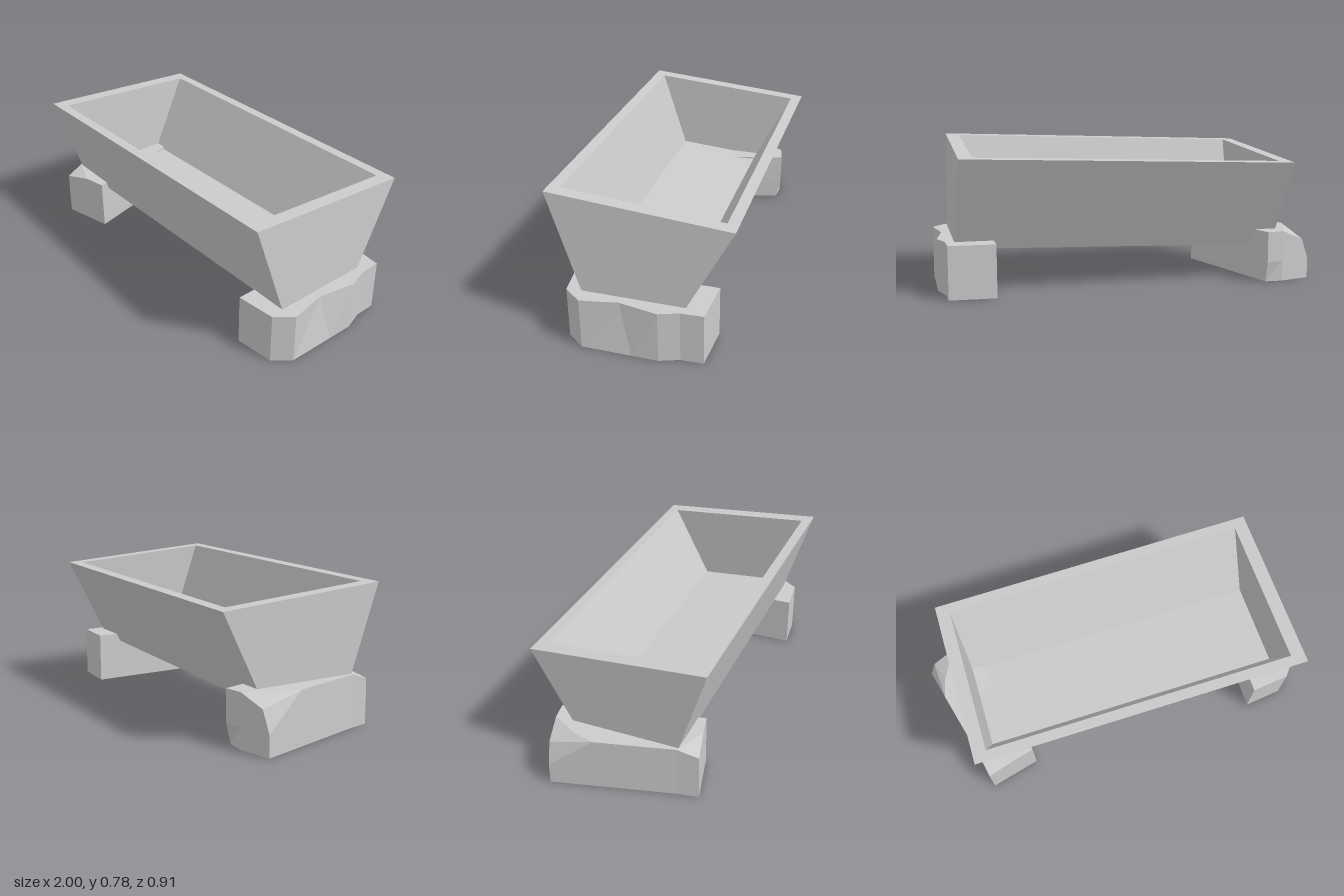
import * as THREE from 'three';

const material = new THREE.MeshStandardMaterial({ color: 0xcccccc, flatShading: true });

// Skins a stack of rings ([x, y, z] corners, counter-clockwise from above) and caps both ends.
function loft(name, rings) {
  const pos = [];
  const tri = (a, b, c) => pos.push(...a, ...b, ...c);
  const n = rings[0].length;
  const centre = (ring) => [0, 1, 2].map((k) => ring.reduce((s, p) => s + p[k], 0) / n);
  for (let r = 0; r < rings.length - 1; r++) {
    for (let i = 0; i < n; i++) {
      const j = (i + 1) % n;
      const [a, b, c, d] = [rings[r][i], rings[r][j], rings[r + 1][j], rings[r + 1][i]];
      if (a !== b) tri(a, b, c);
      if (c !== d) tri(a, c, d);
    }
  }
  const first = rings[0], last = rings[rings.length - 1];
  for (let i = 0; i < n; i++) {
    const j = (i + 1) % n;
    tri(centre(first), first[j], first[i]);
    tri(centre(last), last[i], last[j]);
  }
  const geometry = new THREE.BufferGeometry();
  geometry.setAttribute('position', new THREE.Float32BufferAttribute(pos, 3));
  geometry.computeVertexNormals();
  const mesh = new THREE.Mesh(geometry, material);
  mesh.name = name;
  return mesh;
}

// Rectangle lying in the trough's tilted plane.
function tiltedRect(x0, x1, z0, z1, h) {
  return [[x0, z1], [x1, z1], [x1, z0], [x0, z0]]
    .map(([x, z]) => [x, h + 0.0325 * x + 0.08 * z, z]);
}

const level = (outline, y) => outline.map(([x, z]) => [x, y, z]);

export function createModel() {
  const group = new THREE.Group();

  // Hollow trough: outer bottom, outer rim, inner rim, inner floor
  group.add(loft('trough', [
    tiltedRect(-0.823, 0.92, -0.21, 0.292, 0.223),
    tiltedRect(-0.84, 0.905, -0.455, 0.455, 0.719),
    tiltedRect(-0.77, 0.835, -0.4, 0.4, 0.719),
    tiltedRect(-0.755, 0.85, -0.2, 0.26, 0.303),
  ]));

  // Left support stone, its outer side dented at the top
  const leftBase = [[0.725, 0.39], [0.93, 0.365], [1, 0.275], [1, 0.155], [1, 0.02],
    [1, -0.115], [0.965, -0.215], [0.96, -0.33], [0.72, -0.345]];
  const leftTop = leftBase.map((p, i) => (i === 3 || i === 4 ? [0.965, 0.085] : p));
  group.add(loft('leftSupport', [level(leftBase, 0), level(leftTop, 0.275)]));

  // Right support stone, set askew, with chipped front and back corners
  const rightMid = [[-0.82, 0.415], [-0.67, 0.376], [-0.555, 0.347], [-0.735, -0.37],
    [-0.83, -0.352], [-1, -0.31], [-0.943, -0.09], [-0.84, 0.31]];
  const rightBase = rightMid.map((p, i) => (i === 3 ? [-0.735, -0.345] : p));
  const shoulder = level(rightMid, 0.275);
  shoulder[0] = [-0.82, 0.24, 0.413];
  shoulder[5] = [-0.96, 0.22, -0.32];
  const top = level(rightMid, 0.275);
  top[0] = [-0.755, 0.275, 0.343];
  top[5] = [-0.915, 0.275, -0.2];
  group.add(loft('rightSupport', [level(rightBase, 0), level(rightMid, 0.11), shoulder, top]));

  return group;
}
